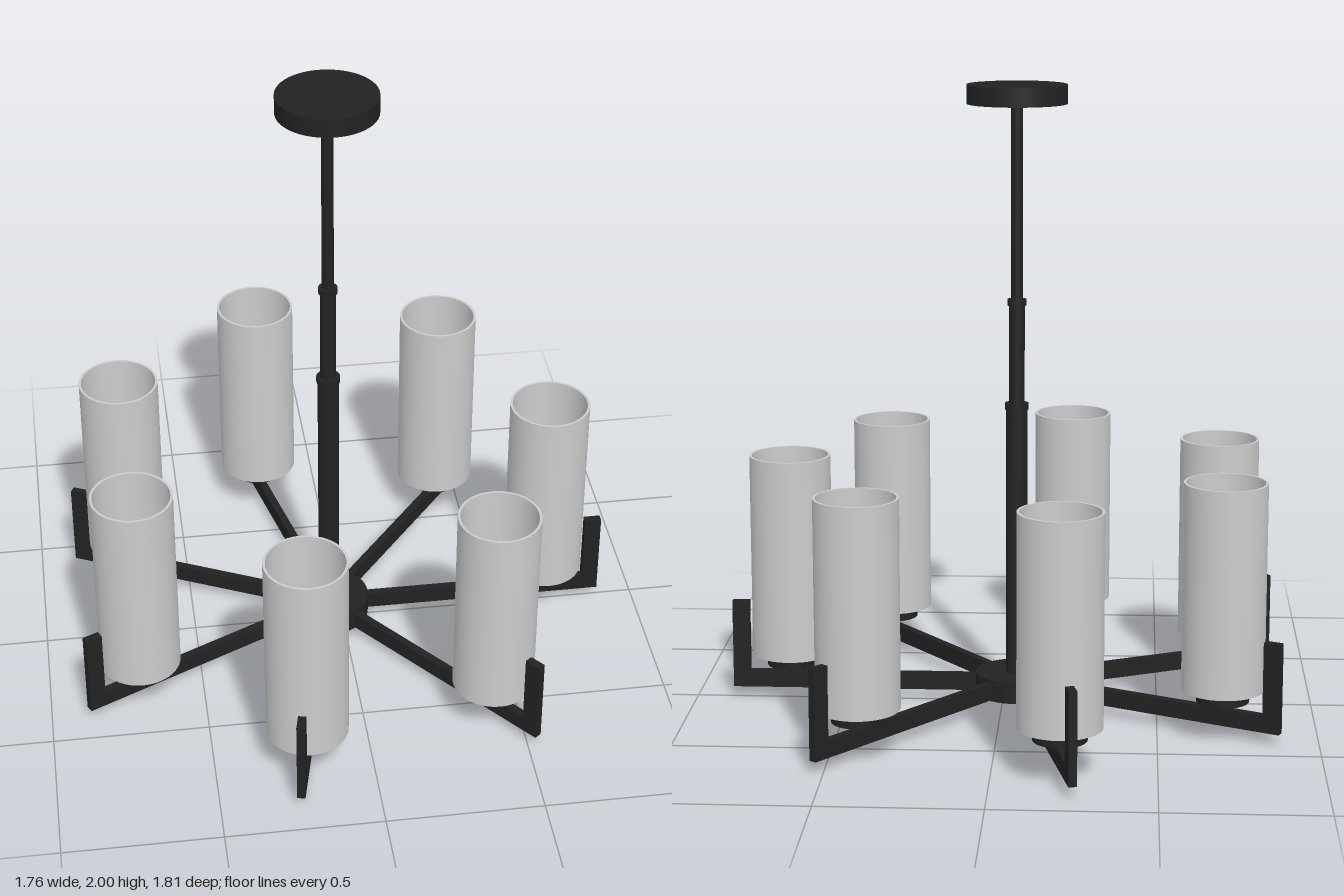
import * as THREE from 'three';

const black = new THREE.MeshStandardMaterial({ color: 0x222222 });
const glass = new THREE.MeshStandardMaterial({ color: 0xcccccc, side: THREE.DoubleSide });

const ARMS = 7;
const ARM_REACH = 0.925;
const SHADE_DISTANCE = 0.73;

function mesh(name, geometry, material = black) {
  const m = new THREE.Mesh(geometry, material);
  m.name = name;
  return m;
}

// Upright cylinder given by its bottom and top heights
function rod(name, radius, y0, y1, segments = 32) {
  const m = mesh(name, new THREE.CylinderGeometry(radius, radius, y1 - y0, segments));
  m.position.y = (y0 + y1) / 2;
  return m;
}

// L-shaped bar: horizontal arm with an upturned end
function armGeometry() {
  const width = 0.026, bar = 0.055;
  const shape = new THREE.Shape([
    [0.05, 0.036], [ARM_REACH, 0.036], [ARM_REACH, 0.325],
    [ARM_REACH - bar, 0.325], [ARM_REACH - bar, 0.036 + bar], [0.05, 0.036 + bar],
  ].map(([x, y]) => new THREE.Vector2(x, y)));
  return new THREE.ExtrudeGeometry(shape, { depth: width, bevelEnabled: false }).translate(0, 0, -width / 2);
}

// Open-topped tube with a thin wall and a closed floor; each section is separate to keep edges crisp
function createShade() {
  const shade = new THREE.Group();
  shade.name = 'shade';
  const outer = 0.13, inner = 0.122, bottom = 0.155, top = 0.813, floor = 0.165;
  const sections = [
    ['shadeBase', [0, bottom], [outer, bottom]],
    ['shadeOuterWall', [outer, bottom], [outer, top]],
    ['shadeRim', [outer, top], [inner, top]],
    ['shadeInnerWall', [inner, top], [inner, floor]],
    ['shadeFloor', [inner, floor], [0, floor]],
  ];
  for (const [name, a, b] of sections) {
    const profile = [new THREE.Vector2(...a), new THREE.Vector2(...b)];
    shade.add(mesh(name, new THREE.LatheGeometry(profile, 48), glass));
  }
  return shade;
}

export function createModel() {
  const model = new THREE.Group();
  model.name = 'chandelier';

  // Central telescoping stem, hub and ceiling canopy
  model.add(
    rod('finial', 0.022, 0, 0.04),
    rod('hub', 0.132, 0.03, 0.1, 48),
    rod('lowerStem', 0.034, 0.1, 0.975),
    rod('lowerCollar', 0.038, 0.97, 0.99),
    rod('middleStem', 0.025, 0.985, 1.31),
    rod('upperCollar', 0.03, 1.305, 1.325),
    rod('upperStem', 0.019, 1.32, 1.95),
    rod('canopy', 0.158, 1.94, 2, 48),
  );

  // Radiating arms, each carrying a lamp
  const armShape = armGeometry();
  for (let i = 0; i < ARMS; i++) {
    const branch = new THREE.Group();
    branch.name = 'branch';
    branch.rotation.y = (i / ARMS) * Math.PI * 2;

    const lamp = new THREE.Group();
    lamp.name = 'lamp';
    lamp.position.x = SHADE_DISTANCE;
    lamp.add(
      rod('lampStem', 0.018, 0.085, 0.12, 20),
      rod('lampCup', 0.083, 0.115, 0.154),
      createShade(),
    );

    branch.add(mesh('arm', armShape), lamp);
    model.add(branch);
  }

  // Seven arms are lopsided along x, so shift the hub to centre the whole
  model.position.x = -0.045;
  const root = new THREE.Group();
  root.name = 'model';
  root.add(model);
  return root;
}
